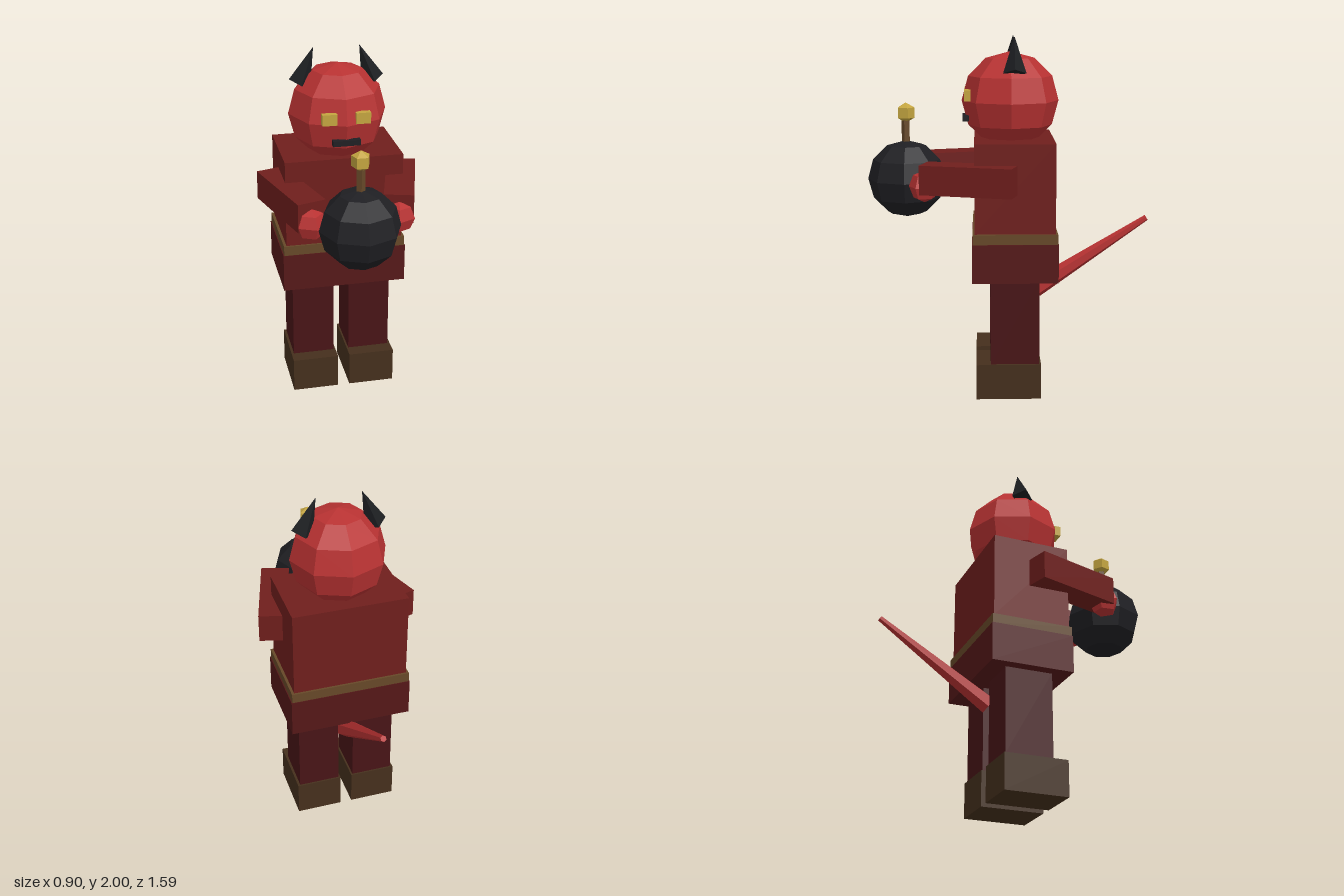
import * as THREE from 'three';

const mat = (color) => new THREE.MeshStandardMaterial({ color, flatShading: true });

export function createModel() {
  const model = new THREE.Group();
  model.name = 'hornedFigure';

  const skin = mat(0xb83232);
  const shirt = mat(0x6f1e1c);
  const hipRed = mat(0x551818);
  const legRed = mat(0x481416);
  const boot = mat(0x452f1c);
  const leather = mat(0x664828);
  const gold = mat(0xc4a540);
  const iron = mat(0x1f1f23);
  const horn = mat(0x1c1e21);

  const add = (name, geometry, material, x, y, z) => {
    const mesh = new THREE.Mesh(geometry, material);
    mesh.name = name;
    mesh.position.set(x, y, z);
    model.add(mesh);
    return mesh;
  };
  const box = (name, material, w, h, d, x, y, z) =>
    add(name, new THREE.BoxGeometry(w, h, d), material, x, y, z);

  // Trunk
  box('torso', shirt, 0.65, 0.49, 0.44, 0, 1.195, -0.024);
  box('belt', leather, 0.68, 0.055, 0.463, 0, 0.9225, -0.025);
  box('hips', hipRed, 0.69, 0.215, 0.47, 0, 0.7875, -0.025);

  // Head and face
  add('head', new THREE.SphereGeometry(0.27, 8, 6), skin, 0, 1.645, -0.005);
  box('mouth', iron, 0.15, 0.03, 0.035, 0, 1.55, 0.243);

  // Paired parts
  for (const s of [-1, 1]) {
    const side = s > 0 ? 'left' : 'right';
    box(side + 'Boot', boot, 0.262, 0.2, 0.36, s * 0.165, 0.1, 0.01);
    box(side + 'Leg', legRed, 0.238, 0.49, 0.27, s * 0.163, 0.44, -0.025);
    box(side + 'Eye', gold, 0.08, 0.06, 0.036, s * 0.09, 1.68, 0.232);

    const arm = box(side + 'Arm', shirt, 0.16, 0.16, 0.513, s * 0.302, 1.245, 0.224);
    arm.rotation.y = -s * 0.28;

    const hand = add(side + 'Hand', new THREE.SphereGeometry(0.087, 5, 4), skin, s * 0.235, 1.2, 0.467);
    hand.rotation.y = s < 0 ? Math.PI / 6 : Math.PI * 5 / 6;

    // Horn leans inward; the base is placed first, then the tip follows
    const tilt = 0.37, length = 0.207;
    const cone = new THREE.ConeGeometry(0.063, length, 4).translate(0, length / 2, 0);
    add(side + 'Horn', cone, horn, s * 0.2, 1.807, -0.025).rotation.z = s * tilt;
  }

  // Tail, tapering up and back
  const tail = new THREE.CylinderGeometry(0.017, 0.055, 0.756, 6);
  add('tail', tail, skin, 0, 0.767, -0.466).rotation.x = -0.993;

  // Round bomb with fuse and spark
  add('bomb', new THREE.SphereGeometry(0.217, 8, 6), iron, 0, 1.206, 0.577);
  add('fuse', new THREE.CylinderGeometry(0.024, 0.024, 0.16, 5), leather, 0, 1.47, 0.577);
  add('spark', new THREE.SphereGeometry(0.057, 5, 3), gold, 0, 1.577, 0.577).rotation.y = -Math.PI / 2;

  return model;
}
